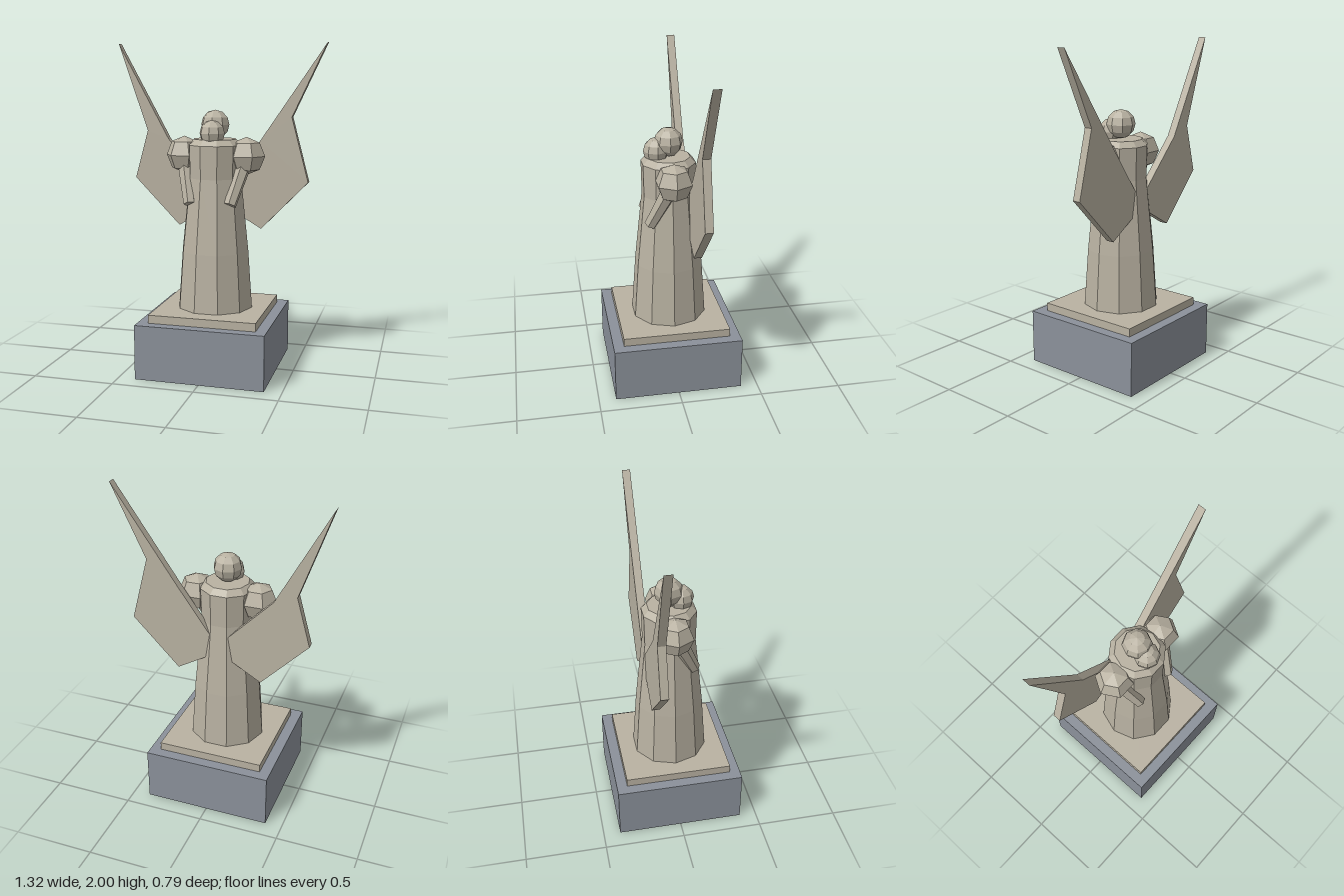
import * as THREE from 'three';

export function createModel() {
  const model = new THREE.Group();
  model.name = 'wingedStatue';

  const stone = new THREE.MeshStandardMaterial({ color: 0xb9b2a2 });
  stone.name = 'warmStone';
  const slate = new THREE.MeshStandardMaterial({ color: 0x8b919a });
  slate.name = 'slate';

  // Adds a faceted mesh
  function add(name, geometry, material, x = 0, y = 0, z = 0) {
    const flat = geometry.index ? geometry.toNonIndexed() : geometry;
    flat.computeVertexNormals();
    const mesh = new THREE.Mesh(flat, material);
    mesh.name = name;
    mesh.position.set(x, y, z);
    model.add(mesh);
    return mesh;
  }

  // Pedestal
  add('pedestal', new THREE.BoxGeometry(0.79, 0.335, 0.79), slate, 0, 0.1675, 0);
  add('plinth', new THREE.BoxGeometry(0.66, 0.05, 0.66), stone, 0, 0.36, 0);

  // Ten-sided robe and torso, with a flat facet to the front
  const profile = [
    [0, 0.385], [0.235, 0.385], [0.21, 0.74], [0.163, 1.19],
    [0.167, 1.39], [0.133, 1.425], [0, 1.425],
  ].map(([r, y]) => new THREE.Vector2(r, y));
  add('robe', new THREE.LatheGeometry(profile, 10, Math.PI / 10), stone);

  // Head and the smaller face mass in front of it
  add('head', new THREE.SphereGeometry(0.088, 8, 6), stone, 0, 1.512, 0);
  add('face', new THREE.SphereGeometry(0.078, 8, 6), stone, 0, 1.463, 0.073);

  // Shoulders and tapered arms reaching forward and inward
  for (const [side, s] of [['left', 1], ['right', -1]]) {
    const shoulder = new THREE.Vector3(s * 0.195, 1.325, 0);
    const hand = new THREE.Vector3(s * 0.125, 1.04, 0.13);
    add(side + 'Shoulder', new THREE.SphereGeometry(0.115, 6, 4), stone, ...shoulder.toArray());

    const reach = shoulder.clone().sub(hand);
    const mid = shoulder.clone().add(hand).multiplyScalar(0.5);
    const arm = add(side + 'Arm', new THREE.CylinderGeometry(0.052, 0.038, reach.length(), 6),
      stone, ...mid.toArray());
    arm.quaternion.setFromUnitVectors(new THREE.Vector3(0, 1, 0), reach.normalize());
  }

  // Slab wings behind the shoulders, slightly different on each side
  const wings = {
    leftWing: [[0.03, 1.0], [0.265, 0.862], [0.555, 1.16], [0.45, 1.555],
      [0.658, 2.0], [0.254, 1.407], [0.03, 1.09]],
    rightWing: [[-0.03, 1.0], [-0.265, 0.862], [-0.555, 1.16], [-0.472, 1.46],
      [-0.658, 2.0], [-0.333, 1.407], [-0.03, 1.1]],
  };
  for (const [name, outline] of Object.entries(wings)) {
    const shape = new THREE.Shape(outline.map(([x, y]) => new THREE.Vector2(x, y)));
    add(name, new THREE.ExtrudeGeometry(shape, { depth: 0.049, bevelEnabled: false }),
      stone, 0, 0, -0.157);
  }

  return model;
}
